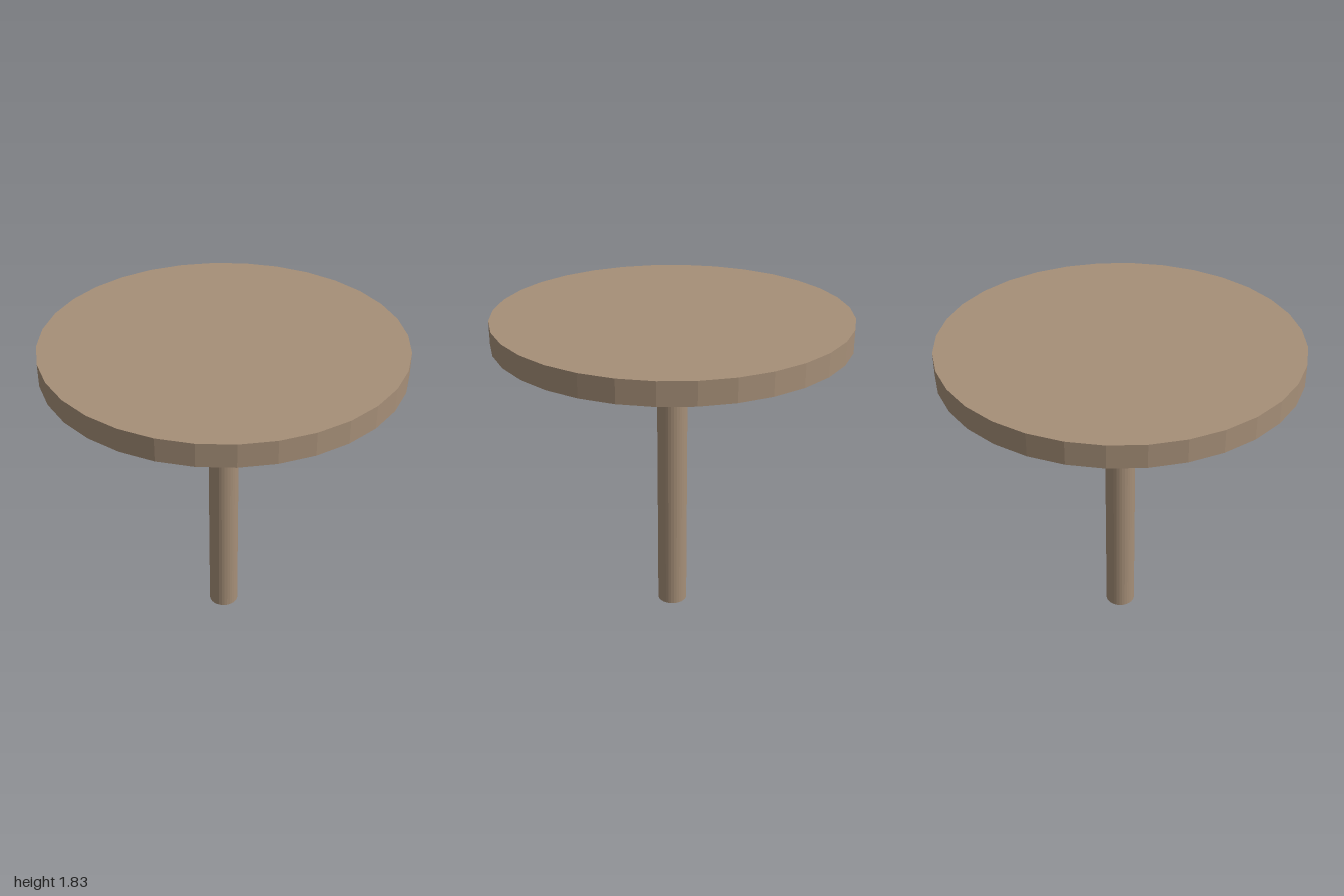
import * as THREE from 'three';

export function createModel() {
  const group = new THREE.Group();
  group.name = 'pedestalTable';
  const wood = new THREE.MeshStandardMaterial({ color: 0xa68f78, flatShading: true });

  // Upright 32-sided disc or post between two heights
  function addCylinder(name, radius, bottom, top) {
    const mesh = new THREE.Mesh(new THREE.CylinderGeometry(radius, radius, top - bottom, 32), wood);
    mesh.name = name;
    mesh.position.y = (bottom + top) / 2;
    group.add(mesh);
  }

  addCylinder('tableTop', 1, 1.7, 1.83);
  addCylinder('pedestalLeg', 0.087, 0, 1.7);

  return group;
}
